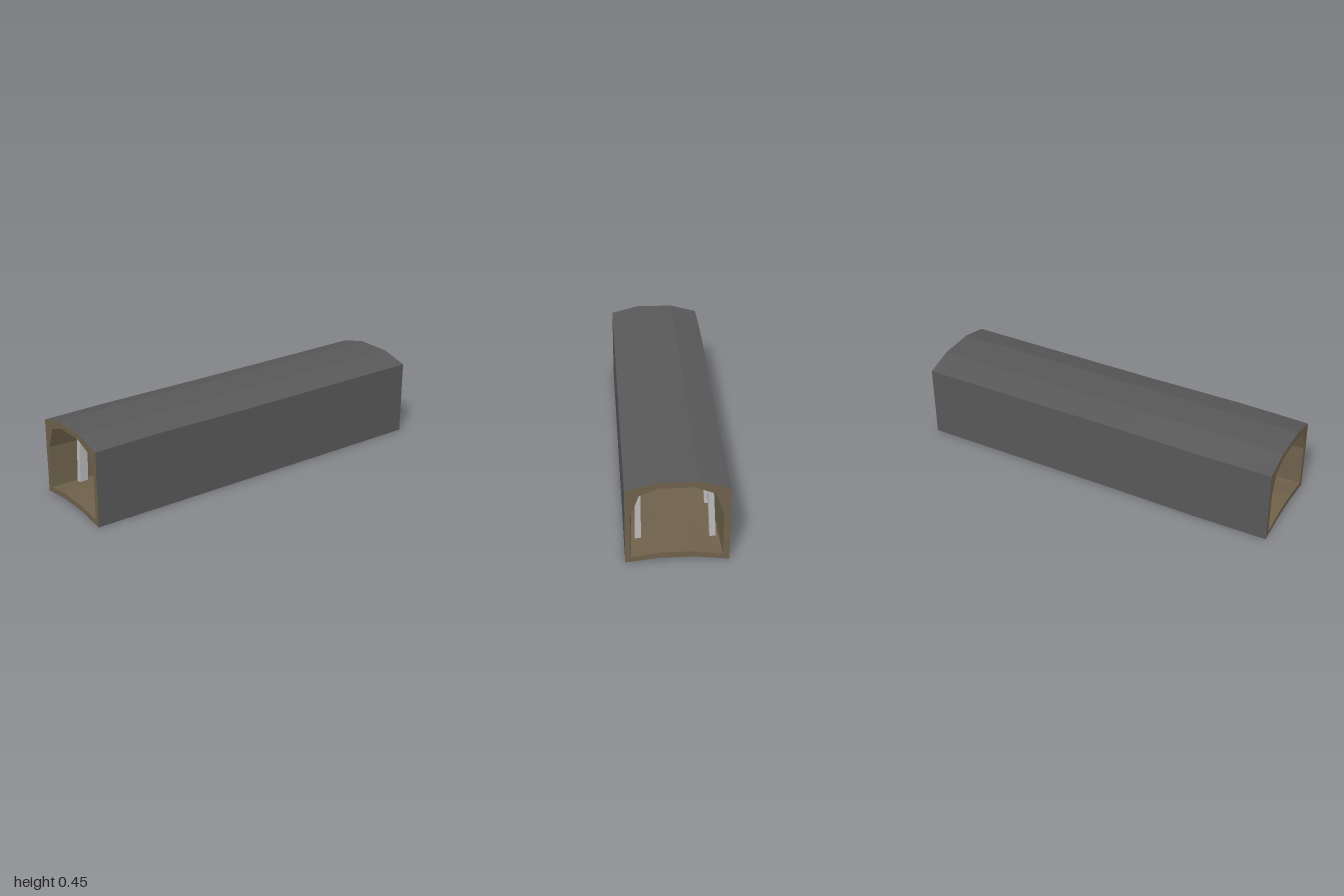
import * as THREE from 'three';

const rock = new THREE.MeshStandardMaterial({ color: 0x585858, side: THREE.DoubleSide, flatShading: true });
rock.name = 'grey rock';
const earth = new THREE.MeshStandardMaterial({ color: 0x6e614b, side: THREE.DoubleSide, flatShading: true });
earth.name = 'brown earth';
const support = new THREE.MeshStandardMaterial({ color: 0xbababa, flatShading: true });
support.name = 'pale support';

// Cross-sections are [z, y] pairs, running from the front foot over the roof to the back foot
const OUTER = [[.252, 0], [.252, .402], [.1, .441], [-.1, .44], [-.248, .4], [-.248, 0]];
const ARCH_UNDER = [[-.085, .02], [.09, .02]];
const INNER = [[.225, .03], [.225, .26], [.184, .372], [.09, .41], [-.08, .41],
  [-.176, .372], [-.216, .26], [-.216, .03], [-.07, .05], [.075, .05]];

function seeded(seed) {
  return () => (seed = (seed * 16807) % 2147483647) / 2147483647;
}

// Faceted skin through cross-sections placed along x
function loft(sections, closed, inward) {
  const pos = [];
  const n = sections[0].ring.length;
  const put = (s, i) => pos.push(s.x, s.ring[i % n][1], s.ring[i % n][0]);
  for (let k = 0; k < sections.length - 1; k++) {
    const [p, q] = inward ? [sections[k + 1], sections[k]] : [sections[k], sections[k + 1]];
    for (let i = 0; i < (closed ? n : n - 1); i++) {
      put(p, i); put(q, i); put(q, i + 1);
      put(p, i); put(q, i + 1); put(p, i + 1);
    }
  }
  const g = new THREE.BufferGeometry();
  g.setAttribute('position', new THREE.Float32BufferAttribute(pos, 3));
  g.computeVertexNormals();
  return g;
}

const toShape = (ring) => new THREE.Shape(ring.map(([z, y]) => new THREE.Vector2(z, y)));

function add(group, name, geometry, material) {
  const m = new THREE.Mesh(geometry, material);
  m.name = name;
  group.add(m);
  return m;
}

export function createModel() {
  const tunnel = new THREE.Group();
  tunnel.name = 'tunnel';
  const rnd = seeded(4711);

  // Outer shell: walls and roof, open below, with a slight swell towards one end
  const swell = [[-1, 0], [-.8, .7], [-.6, 1], [-.35, .6], [-.1, 0], [1, 0]];
  const shell = swell.map(([x, s]) => ({
    x,
    ring: OUTER.map(([z, y], i) => [
      z < 0 && Math.abs(z) > .2 ? z - .006 * s : z,
      i === 3 ? y + .008 * s : i === 1 ? y + .006 * s : y,
    ]),
  }));
  add(tunnel, 'outerShell', loft(shell, false, false), rock);

  // Uneven inner passage, squeezed between the two clean ends
  const count = 8;
  const passage = [];
  for (let k = 0; k < count; k++) {
    const end = k === 0 || k === count - 1;
    passage.push({
      x: -1 + 2 * k / (count - 1),
      ring: INNER.map(([z, y], i) => {
        const a = rnd(), b = rnd();
        if (end) return [z, y];
        const corner = i === 0 || i === 7;
        return [z * (1 - .09 * a), corner ? y + .03 * b : i > 7 ? y - .008 * b : y - .012 * b];
      }),
    });
  }
  add(tunnel, 'innerPassage', loft(passage, true, true), earth);

  // End rims join shell and passage
  const rim = toShape([...OUTER, ...ARCH_UNDER]);
  rim.holes.push(new THREE.Path(INNER.map(([z, y]) => new THREE.Vector2(z, y))));
  for (const side of [-1, 1]) {
    const g = new THREE.ShapeGeometry(rim);
    g.rotateY(-Math.PI / 2);
    add(tunnel, side > 0 ? 'leftEndRim' : 'rightEndRim', g, earth).position.x = side;
  }

  // Arched support frames, each slightly different
  const depth = .045;
  for (let k = 0; k < 7; k++) {
    const top = k === 6 ? 0 : .022 * rnd();
    const lean = k === 6 ? 0 : .014 * rnd();
    const foot = .038 + .006 * rnd();
    const outline = toShape([
      [.2, foot], [.196 - lean, .345 - top], [.095, .397 - top], [-.082, .397 - top],
      [-.178 + lean, .371 - top], [-.195, foot], [-.165, foot],
      [-.151 + lean, .35 - top], [-.08, .366 - top], [.09, .366 - top],
      [.17 - lean, .327 - top], [.17, foot],
    ]);
    const g = new THREE.ExtrudeGeometry(outline, { depth, bevelEnabled: false });
    g.translate(0, 0, -depth / 2);
    g.rotateY(-Math.PI / 2);
    add(tunnel, 'supportFrame' + (k + 1), g, support).position.x = -.84 + .28 * k;
  }
  return tunnel;
}
